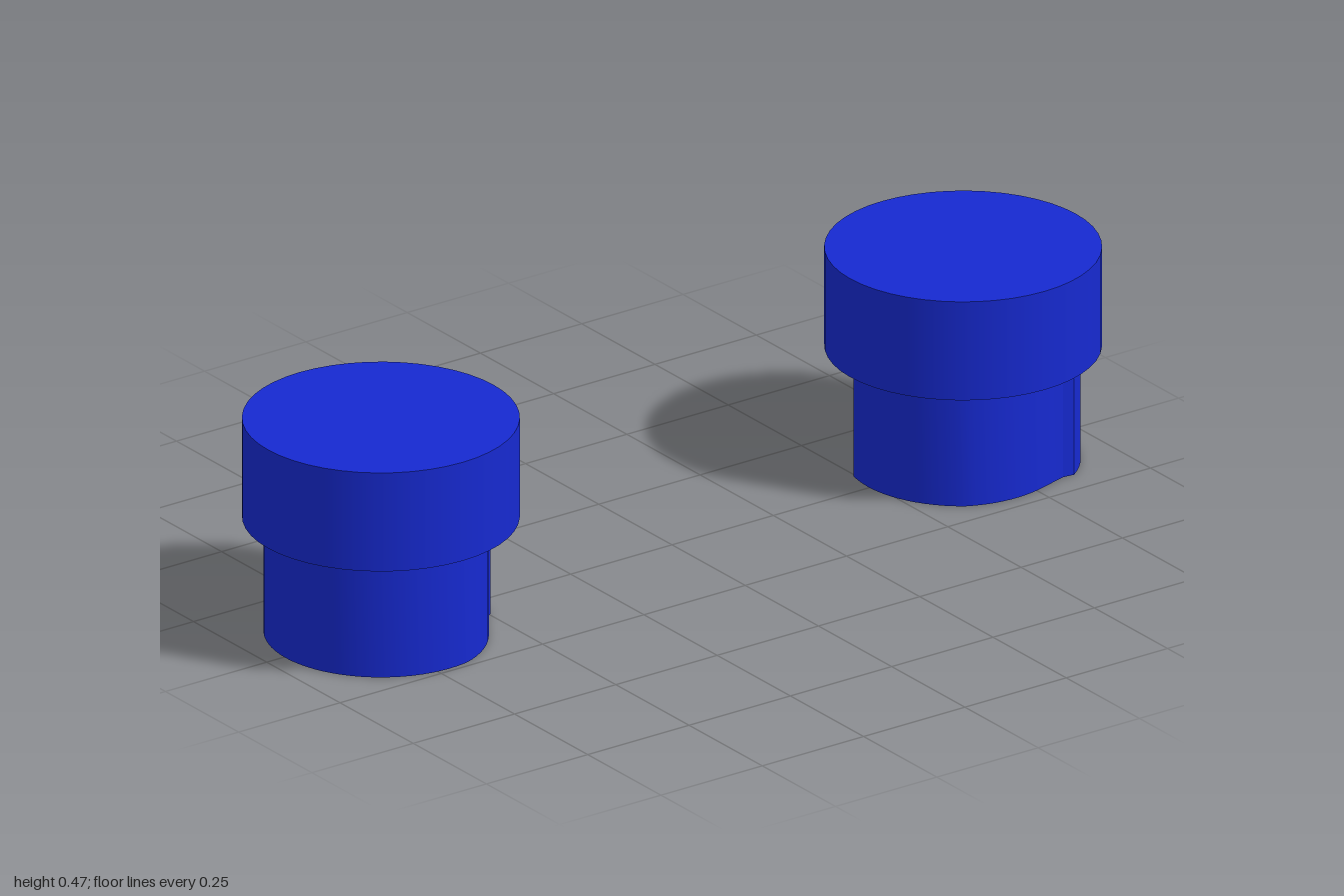
import * as THREE from 'three';
import { toCreasedNormals } from 'three/addons/utils/BufferGeometryUtils.js';

const HEAD_R = 0.278, STEM_R = 0.235, STEP_Y = 0.25, TOP_Y = 0.465;
const material = new THREE.MeshStandardMaterial({ color: 0x1629d0 });

// Shallow flats on the stem, in degrees from +x towards +z: start, end, depth
const flats = [[145, 215, 0.022], [285, 348, 0.02]];

function stemRadius(deg) {
  for (const [a, b, depth] of flats) {
    if (deg > a && deg < b) return STEM_R - depth * Math.sin(Math.PI * Math.sqrt((deg - a) / (b - a)));
  }
  return STEM_R;
}

// Extrudes a polar outline upwards from y = 0
function stemGeometry() {
  const points = [];
  for (let deg = 0; deg < 360; deg += 5) {
    const a = THREE.MathUtils.degToRad(deg), r = stemRadius(deg);
    points.push(new THREE.Vector2(r * Math.cos(a), -r * Math.sin(a)));
  }
  const geometry = new THREE.ExtrudeGeometry(new THREE.Shape(points.reverse()), { depth: STEP_Y, bevelEnabled: false });
  geometry.rotateX(-Math.PI / 2);
  return toCreasedNormals(geometry, 0.35);
}

// One stepped plug: narrow stem with a wide flat head
function createPlug(name) {
  const plug = new THREE.Group();
  plug.name = name;
  const stem = new THREE.Mesh(stemGeometry(), material);
  stem.name = 'stem';
  const head = new THREE.Mesh(new THREE.CylinderGeometry(HEAD_R, HEAD_R, TOP_Y - STEP_Y, 48), material);
  head.name = 'head';
  head.position.y = (STEP_Y + TOP_Y) / 2;
  plug.add(stem, head);
  return plug;
}

export function createModel() {
  const model = new THREE.Group();
  model.name = 'plugPair';

  const front = createPlug('frontPlug');
  front.position.set(0.005, 0, 0.722);

  // The back plug is the front one turned half round
  const back = createPlug('backPlug');
  back.position.set(-0.005, 0, -0.722);
  back.rotation.y = Math.PI;

  model.add(front, back);
  return model;
}
